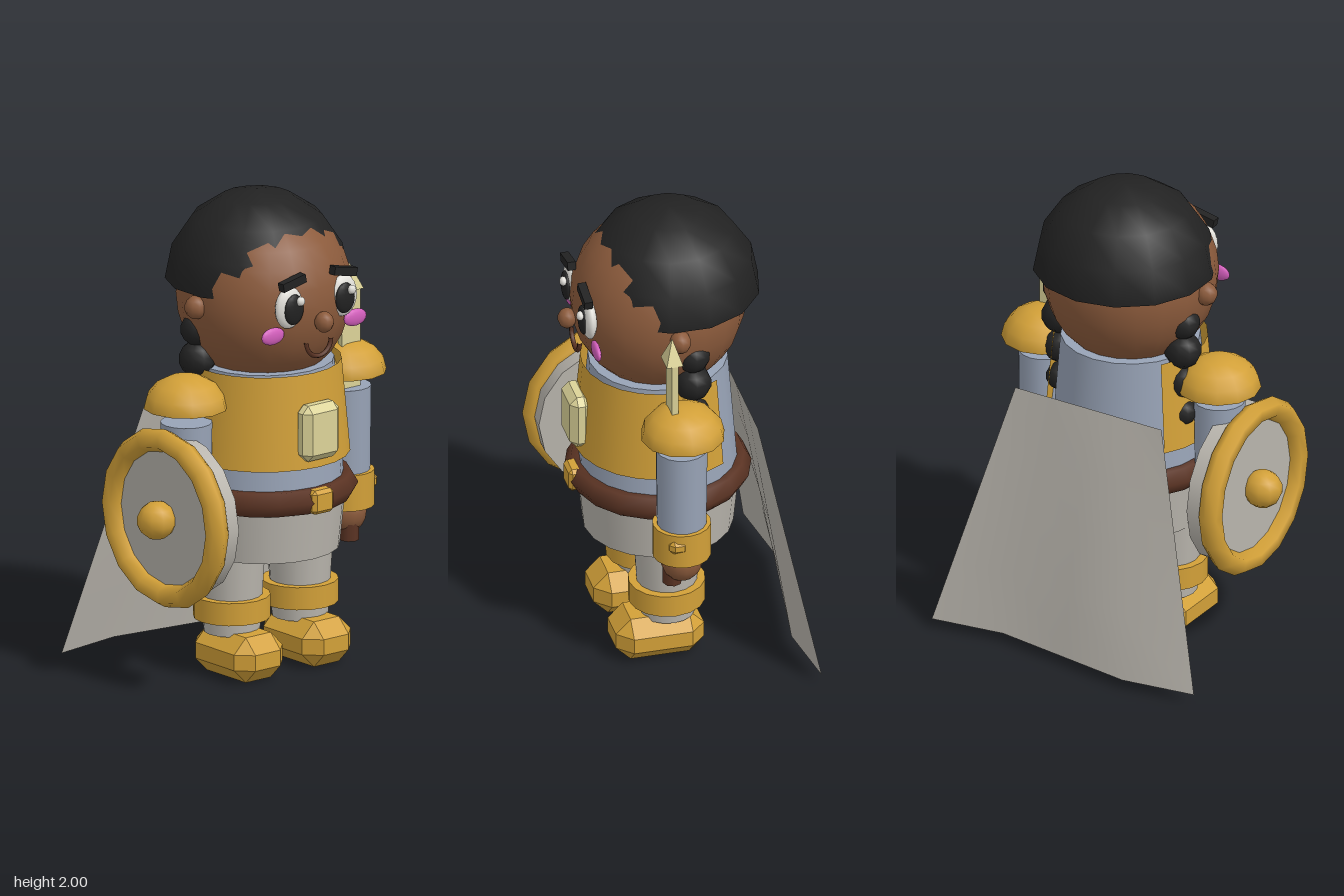
import * as THREE from 'three';
import { ConvexGeometry } from 'three/addons/geometries/ConvexGeometry.js';

const mat = (name, color) => {
  const m = new THREE.MeshStandardMaterial({ color });
  m.name = name;
  return m;
};

// box with chamfered edges and corners
function chamferBox(w, h, d, c) {
  const pts = [];
  for (const x of [-1, 1]) for (const y of [-1, 1]) for (const z of [-1, 1]) {
    const a = w / 2, b = h / 2, e = d / 2;
    pts.push(
      new THREE.Vector3(x * a, y * (b - c), z * (e - c)),
      new THREE.Vector3(x * (a - c), y * b, z * (e - c)),
      new THREE.Vector3(x * (a - c), y * (b - c), z * e));
  }
  return new ConvexGeometry(pts);
}

export function createModel() {
  const root = new THREE.Group();
  root.name = 'knight';

  const gold = mat('gold', 0xd2a038);
  const steel = mat('blueGreySteel', 0x98a3b6);
  const cloth = mat('greyCloth', 0xb9b5ad);
  const skin = mat('brownSkin', 0x8c5b3c);
  const black = mat('blackHair', 0x222222);
  const white = mat('eyeWhite', 0xe2e0da);
  const pink = mat('pinkCheek', 0xd45fbd);
  const leather = mat('darkLeather', 0x5a3323);
  const pale = mat('paleYellow', 0xdcd398);
  // open surfaces show both faces
  for (const m of [gold, cloth, black]) m.side = THREE.DoubleSide;

  const CX = 0.03, CZ = 0.07; // body axis
  const add = (name, geo, material, x, y, z) => {
    const m = new THREE.Mesh(geo, material);
    m.name = name;
    m.position.set(x, y, z);
    root.add(m);
    return m;
  };
  const ball = (name, material, x, y, z, rx, ry = rx, rz = rx, n = 14) => {
    const m = add(name, new THREE.SphereGeometry(1, n, Math.round(n * 0.7)), material, x, y, z);
    m.scale.set(rx, ry, rz);
    return m;
  };
  const tube = (name, material, x, y0, y1, z, r0, r1, n = 16) =>
    add(name, new THREE.CylinderGeometry(r1, r0, y1 - y0, n), material, x, (y0 + y1) / 2, z);

  // head and hair cap
  ball('head', skin, CX, 1.58, CZ, 0.36, 0.38, 0.36, 20);
  add('hair', new THREE.SphereGeometry(0.375, 14, 4, Math.PI / 2, Math.PI * 2, 0, Math.PI / 2),
    black, CX, 1.625, 0.025);
  ball('nose', skin, CX, 1.53, 0.45, 0.04, 0.044, 0.04, 10);
  const mouth = add('mouth', new THREE.TorusGeometry(0.065, 0.01, 6, 12, Math.PI), leather, CX, 1.445, 0.415);
  mouth.rotation.z = Math.PI;

  for (const s of [-1, 1]) {
    // face
    ball('ear', skin, CX + s * 0.36, 1.575, CZ, 0.05, 0.05, 0.045, 10);
    ball('eye', white, CX + s * 0.143, 1.605, 0.397, 0.07, 0.088, 0.03);
    ball('pupil', black, CX + s * 0.135, 1.6, 0.42, 0.05, 0.064, 0.018);
    ball('eyeHighlight', white, CX + s * 0.135 + 0.022, 1.635, 0.437, 0.02, 0.02, 0.016, 8);
    const brow = add('eyebrow', new THREE.BoxGeometry(0.12, 0.036, 0.035), black, CX + s * 0.135, 1.713, 0.41);
    brow.rotation.z = -s * 0.2;
    ball('cheek', pink, CX + s * 0.217, 1.495, 0.385, 0.06, 0.036, 0.016);

    // braid
    [[1.455, 0.07], [1.33, 0.077], [1.19, 0.07], [1.05, 0.058]].forEach(([y, r]) =>
      ball('braid', black, CX + s * 0.295, y, 0, r, r, r, 10));

    // shoulder and arm
    const ax = CX + s * 0.42;
    const pad = add('shoulderPad', new THREE.SphereGeometry(1, 12, 4, 0, Math.PI * 2, 0, Math.PI / 2), gold, ax, 1.165, 0.075);
    pad.scale.set(0.172, 0.138, 0.174);
    const padBase = add('shoulderPadBase', new THREE.CircleGeometry(0.172, 12), gold, ax, 1.165, 0.075);
    padBase.rotation.x = Math.PI / 2;
    tube('arm', steel, ax, 0.61, 1.105, 0.08, 0.1, 0.106);
    tube('cuff', gold, ax, 0.6, 0.75, 0.08, 0.12, 0.12);
    ball('hand', skin, ax, 0.575, 0.08, 0.088, 0.098, 0.088);

    // leg and boot
    const lx = CX + s * 0.18;
    tube('leg', cloth, lx, 0.18, 0.53, 0.08, 0.115, 0.137);
    tube('kneeBand', gold, lx, 0.24, 0.335, 0.08, 0.158, 0.158);
    add('boot', chamferBox(0.255, 0.19, 0.37, 0.062), gold, lx, 0.1, 0.125);
  }

  // torso
  tube('torso', steel, CX, 0.72, 1.3, CZ, 0.33, 0.285, 20);
  add('breastplate', new THREE.CylinderGeometry(0.315, 0.35, 0.39, 16, 1, true, -2.18, 4.36),
    gold, CX, 1.105, CZ);
  tube('trousers', cloth, CX, 0.51, 0.75, CZ, 0.308, 0.332, 20);
  const belt = add('belt', new THREE.TorusGeometry(0.325, 0.057, 6, 18), leather, CX, 0.77, CZ);
  belt.rotation.x = Math.PI / 2;
  add('buckle', chamferBox(0.11, 0.1, 0.06, 0.015), gold, CX, 0.77, 0.425);
  add('chestGem', chamferBox(0.19, 0.235, 0.09, 0.03), pale, CX, 1.063, 0.412);

  // sword in the left hand
  const sx = 0.44, sz = 0.117;
  add('swordBlade', new THREE.BoxGeometry(0.096, 0.82, 0.026), pale, sx, 1.11, sz);
  const tipGeo = new THREE.ConeGeometry(Math.SQRT1_2, 0.11, 4).toNonIndexed();
  tipGeo.rotateY(Math.PI / 4);
  tipGeo.computeVertexNormals();
  const tip = add('swordTip', tipGeo, pale, sx, 1.575, sz);
  tip.scale.set(0.096, 1, 0.07);
  add('swordGuard', chamferBox(0.26, 0.065, 0.08, 0.02), gold, sx, 0.693, sz);
  tube('swordGrip', leather, sx, 0.46, 0.69, sz, 0.04, 0.04, 8);

  // round shield on the right arm
  const sy = 0.73, shz = 0.115;
  const rim = add('shieldRim', new THREE.TorusGeometry(0.328, 0.048, 6, 16), gold, -0.53, sy, shz);
  rim.rotation.y = Math.PI / 2;
  const disc = add('shieldDisc', new THREE.CylinderGeometry(0.335, 0.335, 0.11, 16), cloth, -0.475, sy, shz);
  disc.rotation.z = Math.PI / 2;
  ball('shieldBoss', gold, -0.575, sy, shz, 0.083, 0.08, 0.08, 10);

  // cape widening and waving towards the hem
  const cape = new THREE.PlaneGeometry(1, 1, 4, 4);
  const p = cape.attributes.position;
  for (let i = 0; i < p.count; i++) {
    const u = p.getX(i), v = 0.5 - p.getY(i);
    p.setXYZ(i, 0.025 + u * (0.7 + 0.555 * v), 1.095 - 1.05 * v,
      -0.26 - 0.195 * v + 0.045 * v * Math.sin(u * Math.PI * 2));
  }
  cape.computeVertexNormals();
  add('cape', cape, cloth, 0, 0, 0);

  return root;
}
